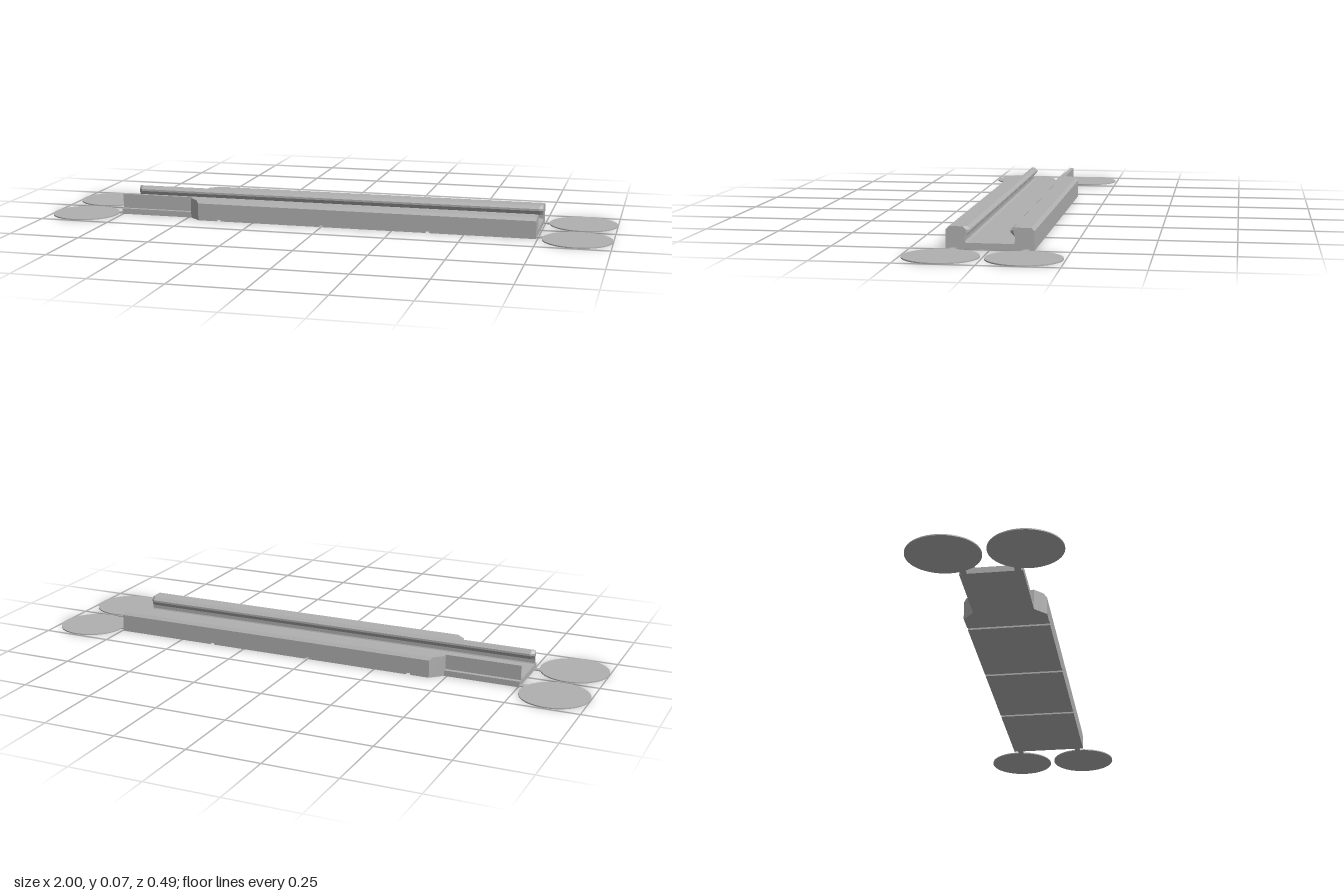
import * as THREE from 'three';

const LEFT = -0.754, RIGHT = 0.745;

// Half of the channel cross-section as [z, y], from the outer foot to the inner floor
function halfProfile({ narrow = false, w = 0.138, chamfer = 0.01, cut = 0, base = 0 }) {
  const outer = narrow
    ? [[0.1, base], [0.1, 0.02], [0.085, 0.02], [0.085, 0.071]]
    : [[w, base], [w, 0.02], [w, 0.071 - chamfer], [w - chamfer, 0.071]];
  return [
    ...outer,
    [0.072 + cut, 0.071], [0.062 + cut, 0.061], [0.062 + cut, 0.054], // hooked lip
    [0.078, 0.038], [0.078, 0.026], [0.076, 0.022], [0.072, 0.02],    // inner wall and fillet
  ];
}

function fullProfile(options) {
  const half = halfProfile(options);
  return [...half, ...half.slice().reverse().map(([z, y]) => [-z, y])];
}

// Joins the cross-sections along x and closes both ends
function loft(sections) {
  const positions = [];
  const tri = (...pts) => pts.forEach((p) => positions.push(...p));
  const rings = sections.map(({ x, ...o }) => fullProfile(o).map(([z, y]) => [x, y, z]));
  for (let i = 0; i < rings.length - 1; i++) {
    const a = rings[i], b = rings[i + 1];
    for (let j = 0; j < a.length; j++) {
      const k = (j + 1) % a.length;
      tri(a[j], b[j], b[k]);
      tri(a[j], b[k], a[k]);
    }
  }
  const cap = (ring, facesRight) => {
    const flat = ring.map(([, y, z]) => new THREE.Vector2(z, y));
    for (const [i, j, k] of THREE.ShapeUtils.triangulateShape(flat, [])) {
      const ccw = THREE.ShapeUtils.area([flat[i], flat[j], flat[k]]) > 0;
      if (ccw !== facesRight) tri(ring[i], ring[j], ring[k]);
      else tri(ring[i], ring[k], ring[j]);
    }
  };
  cap(rings[0], false);
  cap(rings[rings.length - 1], true);
  const geometry = new THREE.BufferGeometry();
  geometry.setAttribute('position', new THREE.Float32BufferAttribute(positions, 3));
  geometry.computeVertexNormals();
  return geometry;
}

export function createModel() {
  const model = new THREE.Group();
  model.name = 'railChannel';
  const grey = new THREE.MeshStandardMaterial({ color: 0xb0b0b0 });
  grey.name = 'grey plastic';

  const add = (name, geometry, x, y, z) => {
    const mesh = new THREE.Mesh(geometry, grey);
    mesh.name = name;
    mesh.position.set(x, y, z);
    model.add(mesh);
  };

  // Channel: narrow end, flared shoulder, wide body; lips cut back at both ends
  const sections = [
    { x: LEFT, narrow: true, cut: 0.012 },
    { x: LEFT + 0.012, narrow: true },
    { x: -0.49, narrow: true },
    { x: -0.49, w: 0.1, chamfer: 0 },
    { x: -0.46, w: 0.128, chamfer: 0 },
    { x: -0.45 },
  ];
  // Shallow grooves across the underside
  for (const x of [-0.375, 0, 0.375]) {
    sections.push(
      { x: x - 0.007 }, { x: x - 0.007, base: 0.006 },
      { x: x + 0.007, base: 0.006 }, { x: x + 0.007 },
    );
  }
  sections.push({ x: RIGHT - 0.012 }, { x: RIGHT, cut: 0.012 });
  add('channel', loft(sections), 0, 0, 0);

  // Thin corner discs with their connecting tabs
  const disc = new THREE.CylinderGeometry(0.118, 0.118, 0.004, 64);
  const tab = new THREE.BoxGeometry(0.045, 0.004, 0.02);
  for (const side of [1, -1]) {
    for (const end of [1, -1]) {
      add('cornerDisc', disc, end * 0.882, 0.002, side * 0.126);
      add('discTab', tab, end > 0 ? 0.757 : -0.768, 0.002, side * (end > 0 ? 0.114 : 0.085));
    }
  }
  return model;
}
